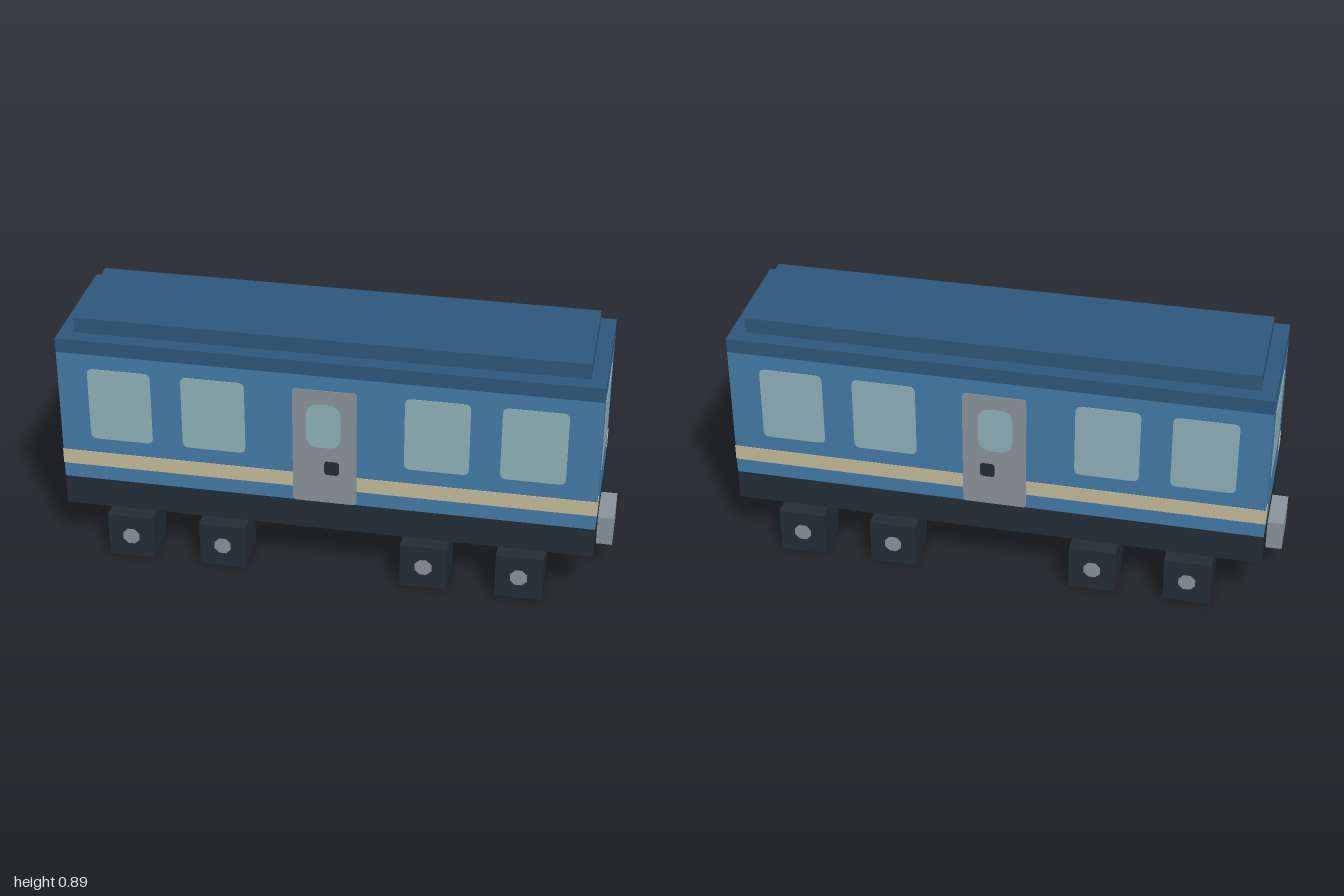
import * as THREE from 'three';

const mat = (name, color) => {
  const m = new THREE.MeshStandardMaterial({ color });
  m.name = name;
  return m;
};

// Rectangle with rounded corners, centred on (cx, cy)
function roundedRect(cx, cy, w, h, r) {
  const s = new THREE.Shape();
  const x0 = cx - w / 2, x1 = cx + w / 2, y0 = cy - h / 2, y1 = cy + h / 2;
  s.moveTo(x0 + r, y0);
  s.lineTo(x1 - r, y0);
  s.quadraticCurveTo(x1, y0, x1, y0 + r);
  s.lineTo(x1, y1 - r);
  s.quadraticCurveTo(x1, y1, x1 - r, y1);
  s.lineTo(x0 + r, y1);
  s.quadraticCurveTo(x0, y1, x0, y1 - r);
  s.lineTo(x0, y0 + r);
  s.quadraticCurveTo(x0, y0, x0 + r, y0);
  return s;
}

export function createModel() {
  const blue = mat('bodyBlue', 0x437ca8);
  const navy = mat('roofNavy', 0x2d587c);
  const dark = mat('undercarriageDark', 0x232e37);
  const glass = mat('windowGlass', 0x8fb2b9);
  const grey = mat('metalGrey', 0x8a949b);
  const cream = mat('stripeCream', 0xc6bc97);

  const group = new THREE.Group();
  group.name = 'railwayCarriage';
  const HX = 0.943, HZ = 0.25; // half length and half width of the body

  const add = (parent, name, geo, m, x = 0, y = 0, z = 0) => {
    const mesh = new THREE.Mesh(geo, m);
    mesh.name = name;
    mesh.position.set(x, y, z);
    parent.add(mesh);
    return mesh;
  };
  // Box given by its bottom and top heights
  const slab = (name, w, y0, y1, d, m, x = 0, z = 0) =>
    add(group, name, new THREE.BoxGeometry(w, y1 - y0, d), m, x, (y0 + y1) / 2, z);
  // Thin rounded plate on a wall; depth sets the layer order
  const plate = (parent, name, cx, cy, w, h, r, depth, m) =>
    add(parent, name, new THREE.ExtrudeGeometry(roundedRect(cx, cy, w, h, r),
      { depth, bevelEnabled: false, curveSegments: 4 }), m);

  // Body and roof
  slab('underframe', HX * 2, 0.167, 0.278, HZ * 2, dark);
  slab('body', HX * 2, 0.278, 0.78, HZ * 2, blue);
  slab('roofEdge', HX * 2, 0.78, 0.833, HZ * 2, navy);
  slab('roofTop', 1.78, 0.833, 0.89, 0.39, navy);

  for (const side of [1, -1]) {
    // Long wall details
    const wall = new THREE.Group();
    wall.name = side > 0 ? 'frontWall' : 'backWall';
    wall.position.z = side * HZ;
    if (side < 0) wall.rotation.y = Math.PI;
    group.add(wall);
    add(wall, 'stripe', new THREE.BoxGeometry(HX * 2, 0.056, 0.002), cream, 0, 0.362, 0.001);
    for (const x of [-0.724, -0.392, 0.389, 0.72])
      plate(wall, 'window', x * side, 0.586, 0.224, 0.278, 0.022, 0.002, glass);
    plate(wall, 'door', 0, 0.502, 0.224, 0.447, 0.012, 0.003, grey);
    plate(wall, 'doorWindow', -0.004 * side, 0.586, 0.12, 0.17, 0.045, 0.004, glass);
    plate(wall, 'doorHandle', 0.025 * side, 0.42, 0.052, 0.054, 0.013, 0.004, dark);

    // End wall details
    const end = new THREE.Group();
    end.name = side > 0 ? 'leftEnd' : 'rightEnd';
    end.position.x = side * HX;
    end.rotation.y = side * Math.PI / 2;
    group.add(end);
    plate(end, 'endWindow', 0, 0.585, 0.278, 0.278, 0.012, 0.002, glass);
    for (const s of [1, -1]) {
      const lamp = new THREE.Shape();
      lamp.moveTo(HZ, 0.334);
      lamp.lineTo(HZ, 0.39);
      lamp.lineTo(0.207, 0.39);
      lamp.quadraticCurveTo(0.195, 0.388, 0.195, 0.374);
      lamp.lineTo(0.195, 0.35);
      lamp.quadraticCurveTo(0.195, 0.336, 0.207, 0.334);
      const geo = new THREE.ExtrudeGeometry(lamp,
        { depth: 0.002, bevelEnabled: false, curveSegments: 4 });
      const mesh = add(end, 'endLamp', geo, cream);
      // Half a turn puts the second lamp at the other corner
      if (s < 0) {
        mesh.rotation.z = Math.PI;
        mesh.position.y = 0.724;
      }
    }

    // Coupler
    slab('coupler', 1 - HX, 0.112, 0.223, 0.167, grey, side * (1 + HX) / 2);

    // Block wheels with hubs
    for (const x of [-0.695, -0.36, 0.36, 0.695]) {
      slab('wheel', 0.165, 0, 0.167, 0.165, dark, x, side * 0.2225);
      const hub = add(group, 'wheelHub', new THREE.CylinderGeometry(0.032, 0.032, 0.003, 8, 1),
        grey, x, 0.084, side * 0.3055);
      hub.rotation.set(Math.PI / 2, Math.PI / 8, 0);
    }
  }
  return group;
}
